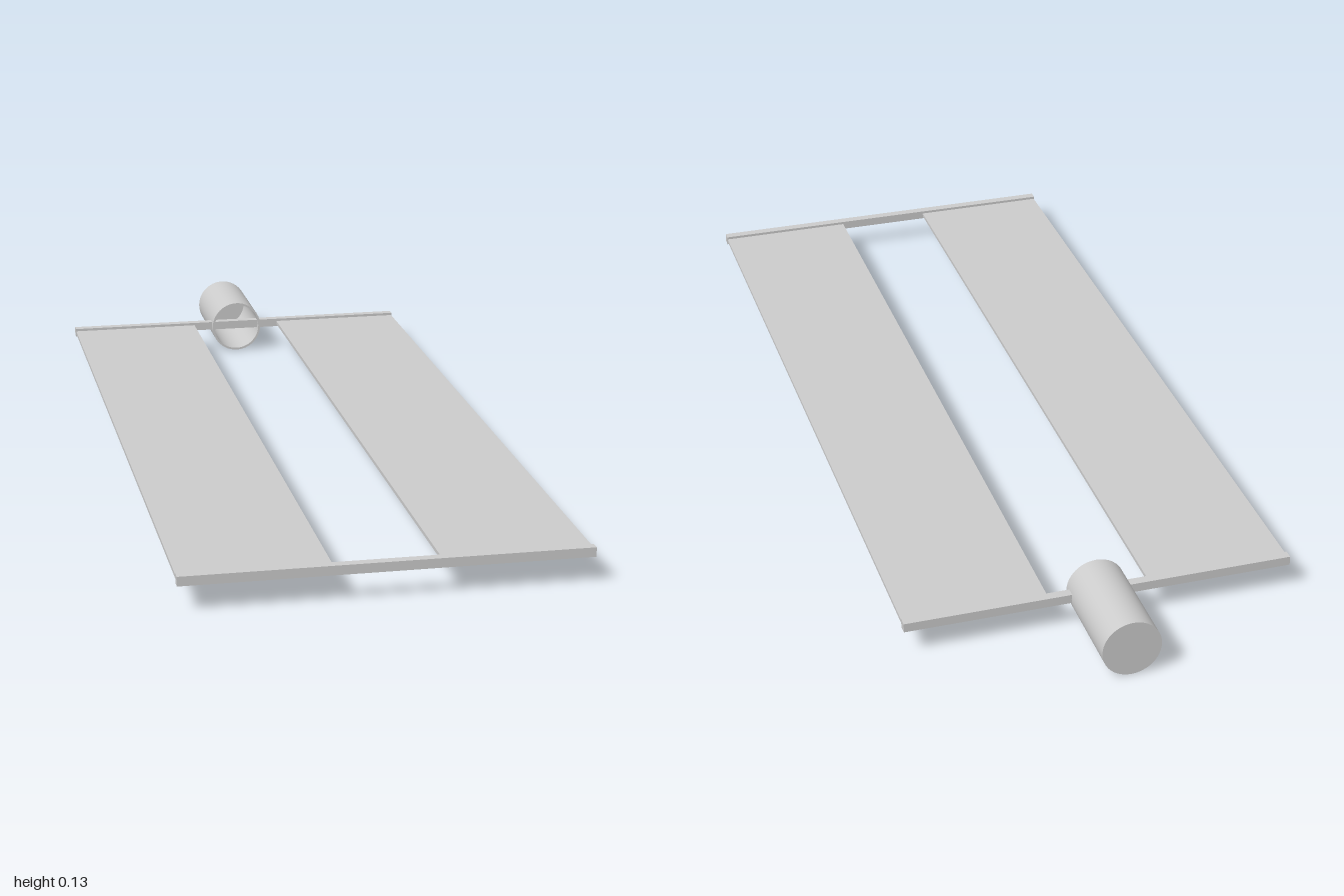
import * as THREE from 'three';

export function createModel() {
  const group = new THREE.Group();
  const material = new THREE.MeshStandardMaterial({ color: 0xcccccc });
  const axisY = 0.064;

  const add = (name, geometry, x, y, z) => {
    const mesh = new THREE.Mesh(geometry, material);
    mesh.name = name;
    mesh.position.set(x, y, z);
    group.add(mesh);
    return mesh;
  };

  // Two long thin panels, mirrored across the centre gap
  for (const [side, name] of [[1, 'leftPanel'], [-1, 'rightPanel']]) {
    add(name, new THREE.BoxGeometry(0.31, 0.008, 1.79), side * 0.264, axisY, 0.097);
  }

  // Cross bars holding the panel ends
  add('frontBar', new THREE.BoxGeometry(0.84, 0.02, 0.02), 0, axisY, 0.99);
  add('rearBar', new THREE.BoxGeometry(0.84, 0.02, 0.02), 0, axisY, -0.795);

  // Hollow canister: closed at the back, open at the front.
  // Each section is its own lathe so the rims stay sharp.
  const R = 0.063, r = 0.058, len = 0.23, floor = 0.006;
  const canister = new THREE.Group();
  canister.name = 'canister';
  const sections = {
    canisterBack: [[0, 0], [R, 0]],
    canisterWall: [[R, 0], [R, len]],
    canisterRim: [[R, len], [r, len]],
    canisterInside: [[r, len], [r, floor]],
    canisterFloor: [[r, floor], [0, floor]],
  };
  for (const [name, points] of Object.entries(sections)) {
    const profile = points.map(([x, y]) => new THREE.Vector2(x, y));
    const mesh = new THREE.Mesh(new THREE.LatheGeometry(profile, 48), material);
    mesh.name = name;
    canister.add(mesh);
  }
  canister.rotation.x = Math.PI / 2;
  canister.position.set(0, axisY - 0.001, -1);
  group.add(canister);

  return group;
}
